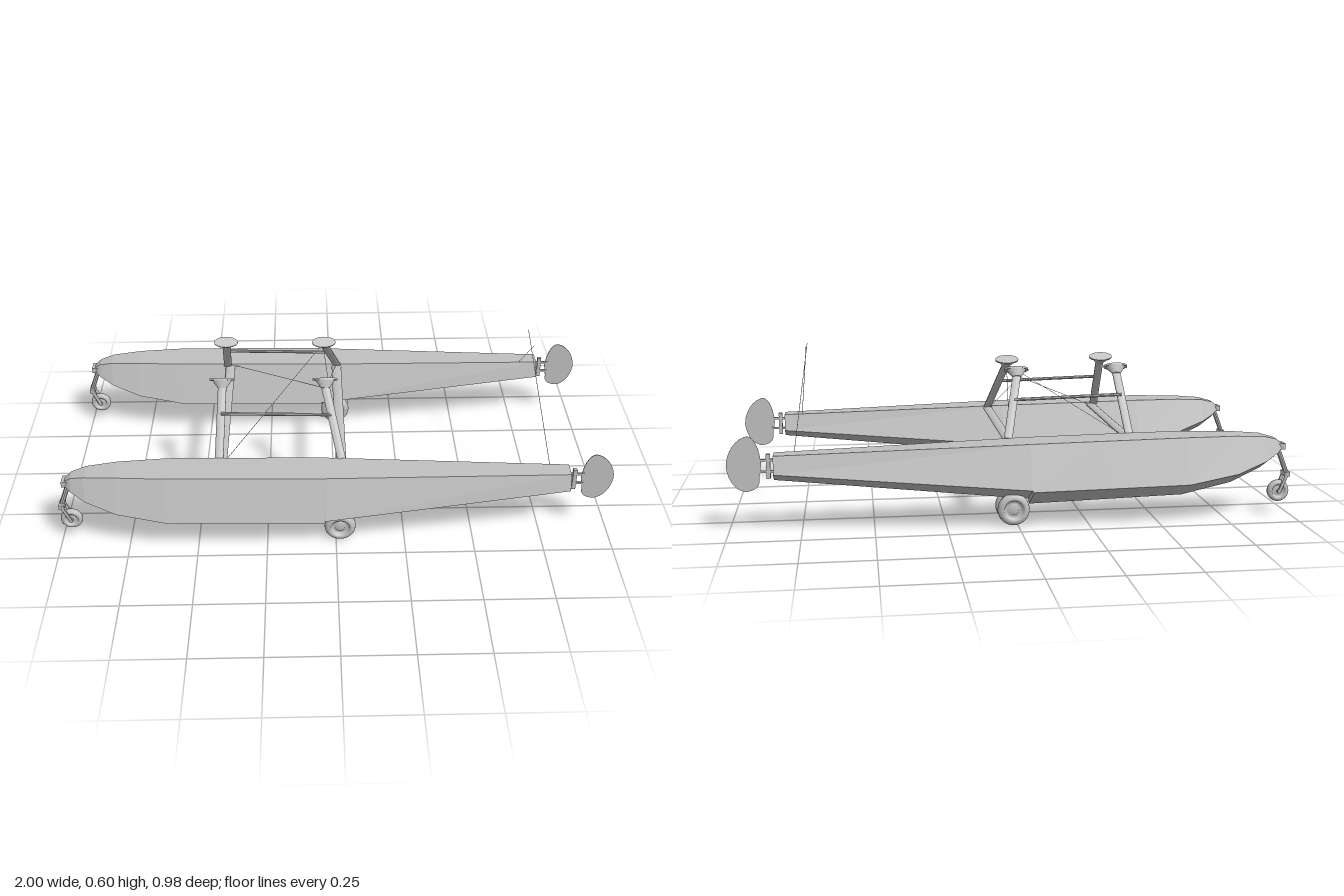
import * as THREE from 'three';

const grey = new THREE.MeshStandardMaterial({ color: 0xc0c0c0, flatShading: true, side: THREE.DoubleSide });
grey.name = 'light grey';
const smoothGrey = new THREE.MeshStandardMaterial({ color: 0xc0c0c0 });
smoothGrey.name = 'smooth light grey';

const FLOAT_Z = 0.378;
const v = (x, y, z) => new THREE.Vector3(x, y, z);

function add(parent, name, geometry, material = grey) {
  const mesh = new THREE.Mesh(geometry, material);
  mesh.name = name;
  parent.add(mesh);
  return mesh;
}

// Rod between two points: local y runs along it, local x stays near the world x axis
function rod(parent, name, a, b, rx, rz = rx, sides = 8, topScale = 1) {
  const dir = b.clone().sub(a);
  const g = new THREE.CylinderGeometry(topScale, 1, dir.length(), sides);
  g.scale(rx, 1, rz);
  const m = add(parent, name, g);
  const y = dir.normalize();
  const ref = Math.abs(y.x) > 0.9 ? v(0, 0, 1) : v(1, 0, 0);
  const x = ref.addScaledVector(y, -ref.dot(y)).normalize();
  m.quaternion.setFromRotationMatrix(new THREE.Matrix4().makeBasis(x, y, x.clone().cross(y)));
  m.position.copy(a).add(b).multiplyScalar(0.5);
  return m;
}

// Hull stations: x, deck y, deck half width, chine y, chine half width, keel y
const stations = [
  [-0.965, 0.265, 0.012, 0.252, 0.018, 0.243],
  [-0.94, 0.284, 0.022, 0.236, 0.04, 0.215],
  [-0.89, 0.297, 0.034, 0.212, 0.065, 0.177],
  [-0.78, 0.304, 0.048, 0.176, 0.094, 0.125],
  [-0.6, 0.306, 0.061, 0.148, 0.114, 0.085],
  [-0.3, 0.302, 0.062, 0.143, 0.114, 0.077],
  [-0.045, 0.298, 0.062, 0.139, 0.114, 0.07],
  [-0.04, 0.298, 0.062, 0.145, 0.113, 0.088],
  [0.84, 0.275, 0.03, 0.213, 0.046, 0.185],
];

function hullGeometry() {
  const rings = stations.map(([x, dy, dw, cy, cw, ky]) => [
    [x, dy, dw], [x, dy, -dw], [x, cy, -cw], [x, ky, 0], [x, cy, cw],
  ]);
  const pos = [];
  const tri = (a, b, c) => pos.push(...a, ...b, ...c);
  for (let i = 0; i < rings.length - 1; i++) {
    const p = rings[i], q = rings[i + 1];
    for (let j = 0; j < 5; j++) {
      const k = (j + 1) % 5;
      tri(p[j], q[j], q[k]);
      tri(p[j], q[k], p[k]);
    }
  }
  const bow = rings[0], stern = rings[rings.length - 1];
  for (let j = 1; j < 4; j++) {
    tri(bow[0], bow[j], bow[j + 1]);
    tri(stern[0], stern[j + 1], stern[j]);
  }
  const g = new THREE.BufferGeometry();
  g.setAttribute('position', new THREE.Float32BufferAttribute(pos, 3));
  g.computeVertexNormals();
  return g;
}

// Tyre with rounded tread and a dished hub, axle along z
function wheel(parent, name, x, y, z, r, w) {
  const h = w / 2;
  const pts = [
    [0, -h * 0.6], [0.3, -h * 0.6], [0.34, -h * 0.35], [0.55, -h * 0.35], [0.6, -h * 0.9], [0.72, -h],
    [0.88, -h * 0.85], [0.97, -h * 0.5], [1, 0], [0.97, h * 0.5], [0.88, h * 0.85], [0.72, h],
    [0.6, h * 0.9], [0.55, h * 0.35], [0.34, h * 0.35], [0.3, h * 0.6], [0, h * 0.6],
  ].map(([a, b]) => new THREE.Vector2(a * r, b));
  const g = new THREE.LatheGeometry(pts, 28);
  g.rotateX(Math.PI / 2);
  add(parent, name, g, smoothGrey).position.set(x, y, z);
}

function rudderGeometry() {
  const s = new THREE.Shape();
  s.moveTo(0.882, 0.24);
  s.bezierCurveTo(0.885, 0.29, 0.9, 0.335, 0.925, 0.34);
  s.bezierCurveTo(0.965, 0.335, 1.0, 0.285, 1.0, 0.235);
  s.bezierCurveTo(0.995, 0.18, 0.965, 0.148, 0.935, 0.146);
  s.bezierCurveTo(0.91, 0.148, 0.885, 0.16, 0.89, 0.19);
  s.closePath();
  const g = new THREE.ExtrudeGeometry(s, { depth: 0.003, bevelEnabled: false, curveSegments: 8 });
  return g.translate(0, 0, -0.0015);
}

// One float with its wheels and rudder, centred on z = 0
function buildFloat() {
  const f = new THREE.Group();
  add(f, 'hull', hullGeometry());

  // Rudder and its hinge
  add(f, 'rudder', rudderGeometry());
  add(f, 'rudderPost', new THREE.BoxGeometry(0.014, 0.085, 0.014)).position.set(0.858, 0.234, 0);
  for (const y of [0.215, 0.255]) {
    add(f, 'rudderHinge', new THREE.BoxGeometry(0.05, 0.008, 0.008)).position.set(0.868, y, 0);
  }

  // Twin main wheels
  for (const s of [-1, 1]) wheel(f, 'mainWheel', 0.015, 0.06, s * 0.031, 0.057, 0.042);
  rod(f, 'mainAxle', v(0.015, 0.06, -0.04), v(0.015, 0.06, 0.04), 0.012);
  rod(f, 'mainLeg', v(0.005, 0.12, 0), v(0.015, 0.055, 0), 0.014, 0.009);

  // Nose wheel on a bent leg and fork
  add(f, 'noseMount', new THREE.BoxGeometry(0.04, 0.022, 0.042)).position.set(-0.955, 0.255, 0);
  rod(f, 'noseLeg', v(-0.952, 0.25, 0), v(-0.988, 0.155, 0), 0.009);
  add(f, 'forkCrown', new THREE.BoxGeometry(0.02, 0.016, 0.042)).position.set(-0.987, 0.152, 0);
  for (const s of [-1, 1]) {
    rod(f, 'noseFork', v(-0.987, 0.152, s * 0.018), v(-0.96, 0.088, s * 0.018), 0.007, 0.004);
  }
  rod(f, 'noseAxle', v(-0.96, 0.088, -0.021), v(-0.96, 0.088, 0.021), 0.007);
  wheel(f, 'noseWheel', -0.96, 0.088, 0, 0.04, 0.026);
  return f;
}

export function createModel() {
  const model = new THREE.Group();
  model.name = 'seaplaneFloats';

  for (const s of [-1, 1]) {
    const f = buildFloat();
    f.name = s > 0 ? 'frontFloat' : 'rearFloat';
    f.position.z = s * FLOAT_Z;
    model.add(f);

    // Slanted struts with flared oval mounting pads
    for (const [x0, x1, top] of [[-0.418, -0.405, 0.5], [0.022, -0.033, 0.495]]) {
      const foot = v(x0, 0.294, s * 0.318), head = v(x1, top, s * 0.145);
      rod(model, 'strut', foot, head, 0.016, 0.006, 10);
      const up = v(0, 0.77, -s * 0.64);
      const rim = head.clone().addScaledVector(up, 0.02);
      rod(model, 'padNeck', head.clone().addScaledVector(up, -0.008), rim, 0.016, 0.01, 20, 2.2);
      rod(model, 'pad', rim, rim.clone().addScaledVector(up, 0.007), 0.045, 0.021, 20);
    }

    // Bar joining the two struts of this side
    rod(model, 'strutBar', v(-0.41, 0.427, s * 0.216), v(-0.012, 0.416, s * 0.216), 0.006);

    // Bracing wires and rudder cables
    rod(model, 'braceWire', v(-0.39, 0.298, s * 0.315), v(-0.04, 0.49, -s * 0.15), 0.001, 0.001, 4);
    rod(model, 'rearWire', v(0.015, 0.296, s * 0.3), v(-0.035, 0.48, -s * 0.15), 0.001, 0.001, 4);
    rod(model, 'rudderCable', v(0.77, 0.277, s * 0.35), v(0.73, 0.6, -s * 0.06), 0.001, 0.001, 4);
  }

  // Spreader bars between the floats
  for (const [x, y] of [[-0.408, 0.292], [0.02, 0.287]]) {
    rod(model, 'spreaderBar', v(x, y, -0.325), v(x, y, 0.325), 0.019, 0.008, 12);
  }
  return model;
}
